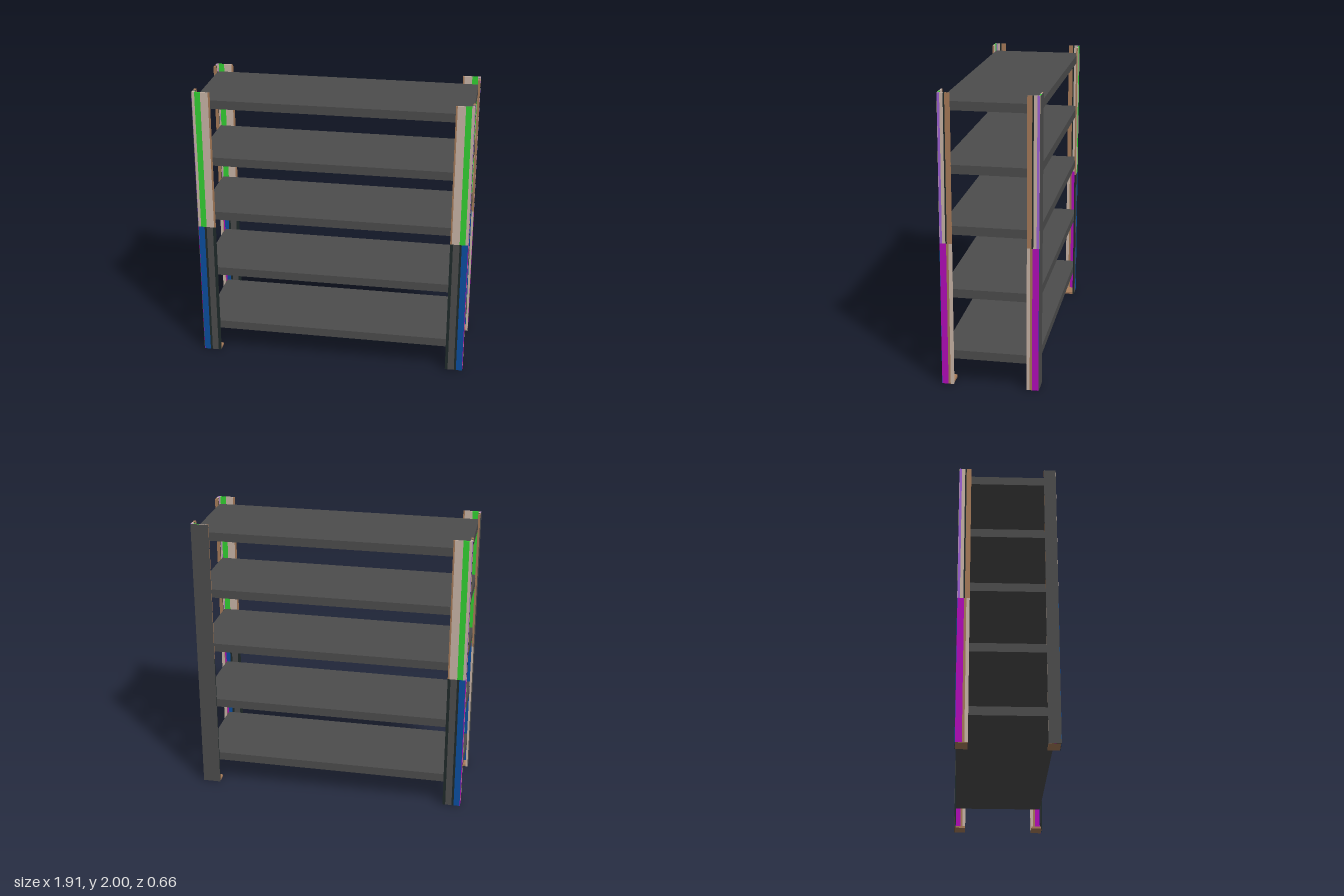
import * as THREE from 'three';

const mat = (name, hex) => {
  const m = new THREE.MeshStandardMaterial({ color: hex });
  m.name = name;
  return m;
};

export function createModel() {
  const M = {
    grey: mat('shelf grey', 0x4d4d4d),
    dark: mat('dark slate', 0x202b2b),
    beige: mat('beige', 0xcbb6a8),
    brown: mat('brown', 0xa87c5a),
    green: mat('green', 0x33d233),
    blue: mat('blue', 0x0b50a2),
    magenta: mat('magenta', 0xb40cbc),
    purple: mat('purple', 0xa163d8),
  };

  // Post section: outer corner and flange thicknesses
  const X = 0.955, Z = 0.33, TX = 0.015, TZ = 0.01;

  // Strips of each flange, as [colour, start, end] measured from the corner
  const wideFlange = {
    upper: [['beige', 0.002, 0.02], ['green', 0.02, 0.06], ['beige', 0.06, 0.114], ['brown', 0.114, 0.125]],
    lower: [['blue', 0.002, 0.045], ['dark', 0.045, 0.06], ['grey', 0.06, 0.105], ['dark', 0.105, 0.125]],
  };
  const sideFlange = {
    upper: [['purple', 0.002, 0.018], ['beige', 0.018, 0.04], ['dark', 0.04, 0.05], ['brown', 0.05, 0.082]],
    lower: [['magenta', 0.002, 0.045], ['brown', 0.045, 0.06], ['beige', 0.06, 0.082]],
  };

  // Box between two corners
  function box(parent, name, material, x0, x1, y0, y1, z0, z1) {
    const g = new THREE.BoxGeometry(Math.abs(x1 - x0), y1 - y0, Math.abs(z1 - z0));
    const mesh = new THREE.Mesh(g, material);
    mesh.position.set((x0 + x1) / 2, (y0 + y1) / 2, (z0 + z1) / 2);
    mesh.name = name;
    parent.add(mesh);
  }

  // Angle post in the corner given by the signs sx and sz
  function post(sx, sz) {
    const p = new THREE.Group();
    p.name = (sz > 0 ? 'front' : 'back') + (sx > 0 ? 'Left' : 'Right') + 'Post';
    for (const [half, y0, y1] of [['lower', 0.001, 1], ['upper', 1, 2]]) {
      for (const [c, a, b] of wideFlange[half])
        box(p, half + 'WideStrip', M[c], sx * (X - a), sx * (X - b), y0, y1, sz * Z, sz * (Z - TZ));
      const top = half === 'upper' ? 1.999 : y1;
      for (const [c, a, b] of sideFlange[half])
        box(p, half + 'SideStrip', M[c], sx * X, sx * (X - TX), y0, top, sz * (Z - a), sz * (Z - b));
    }
    // Foot plate
    box(p, 'foot', M.brown, sx * 0.952, sx * 0.832, 0, 0.015, sz * 0.327, sz * 0.25);
    return p;
  }

  const model = new THREE.Group();
  model.name = 'shelvingUnit';
  for (const sx of [-1, 1]) for (const sz of [-1, 1]) model.add(post(sx, sz));

  // Grey facings on two of the posts
  box(model, 'backPostFacing', M.grey, 0.83, X, 0.001, 2, -Z - 0.002, -Z);
  box(model, 'sidePostFacing', M.grey, -X - 0.002, -X, 0.001, 2, 0.248, Z - 0.001);

  // Shelves
  for (const y of [0.185, 0.623, 1.06, 1.47, 1.885])
    box(model, 'shelf', M.grey, -0.942, 0.942, y, y + 0.06, -0.322, 0.322);

  return model;
}
